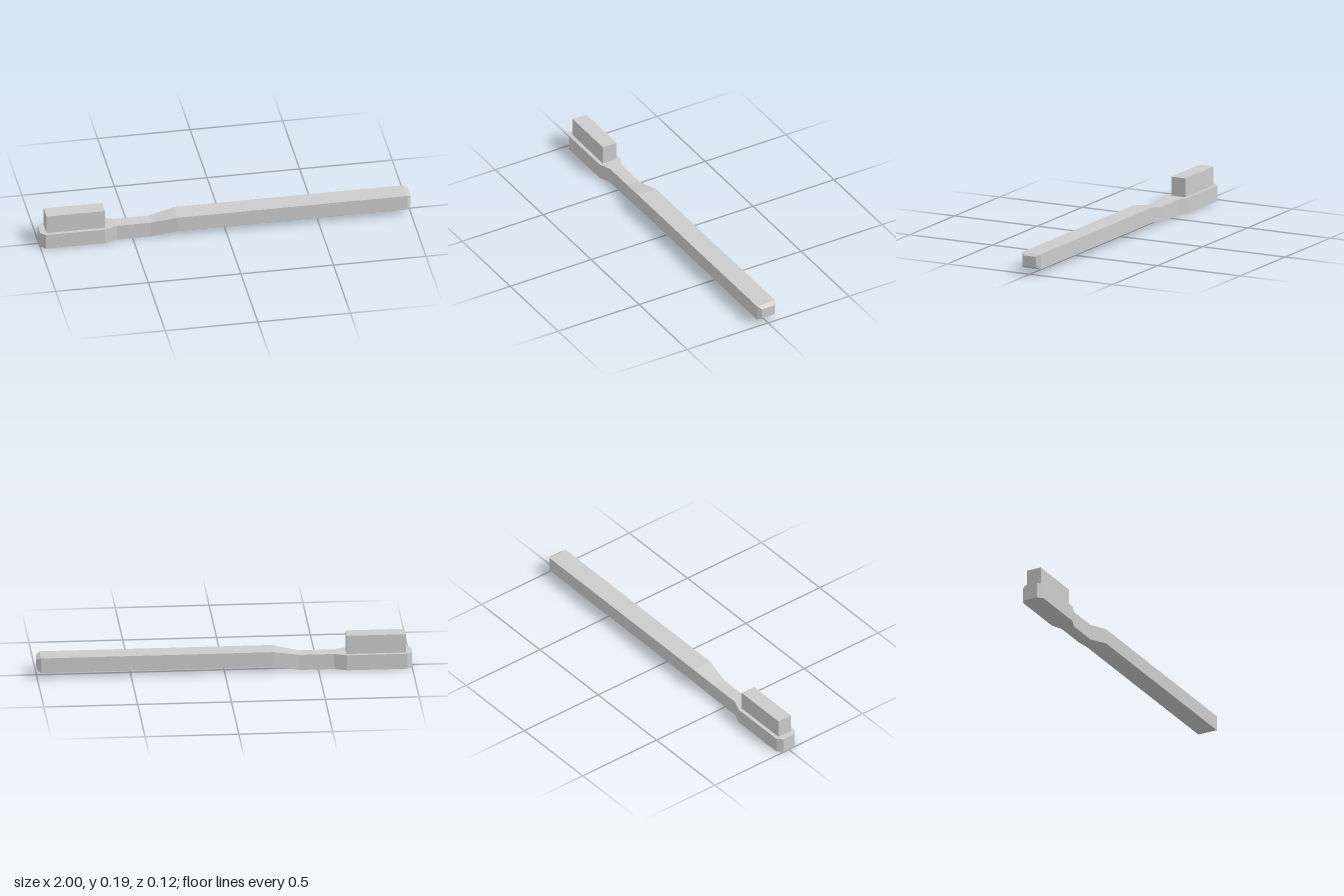
import * as THREE from 'three';

// Lofts rectangular sections [x, bottom, top, halfWidth] along x, closed at both ends.
function loftGeometry(sections) {
  const positions = [];
  const indices = [];
  for (const [x, y0, y1, w] of sections) {
    positions.push(x, y0, w, x, y0, -w, x, y1, -w, x, y1, w);
  }
  const quad = (a, b, c, d) => indices.push(a, b, c, a, c, d);
  for (let s = 0; s < sections.length - 1; s++) {
    const a = s * 4, b = a + 4;
    for (let i = 0; i < 4; i++) {
      const j = (i + 1) % 4;
      quad(a + i, a + j, b + j, b + i);
    }
  }
  const e = (sections.length - 1) * 4;
  quad(3, 2, 1, 0);
  quad(e, e + 1, e + 2, e + 3);

  const indexed = new THREE.BufferGeometry();
  indexed.setAttribute('position', new THREE.Float32BufferAttribute(positions, 3));
  indexed.setIndex(indices);
  const geometry = indexed.toNonIndexed();
  geometry.computeVertexNormals();
  return geometry;
}

export function createModel() {
  const group = new THREE.Group();
  group.name = 'toothbrush';
  const material = new THREE.MeshStandardMaterial({ color: 0xcccccc, flatShading: true });

  // Head, narrow neck, raised grip and chamfered tail in one body
  const handle = new THREE.Mesh(loftGeometry([
    [-1.0, 0, 0.085, 0.036],
    [-0.972, 0, 0.085, 0.062],
    [-0.65, 0, 0.085, 0.062],
    [-0.585, 0, 0.085, 0.036],
    [-0.4, 0, 0.085, 0.036],
    [-0.26, 0.029, 0.112, 0.056],
    [0.98, 0.029, 0.112, 0.056],
    [1.0, 0.042, 0.099, 0.037],
  ]), material);
  handle.name = 'handle';
  group.add(handle);

  // Bristle block standing on the head
  const bristles = new THREE.Mesh(new THREE.BoxGeometry(0.316, 0.104, 0.084), material);
  bristles.name = 'bristles';
  bristles.position.set(-0.808, 0.136, 0);
  group.add(bristles);

  return group;
}
